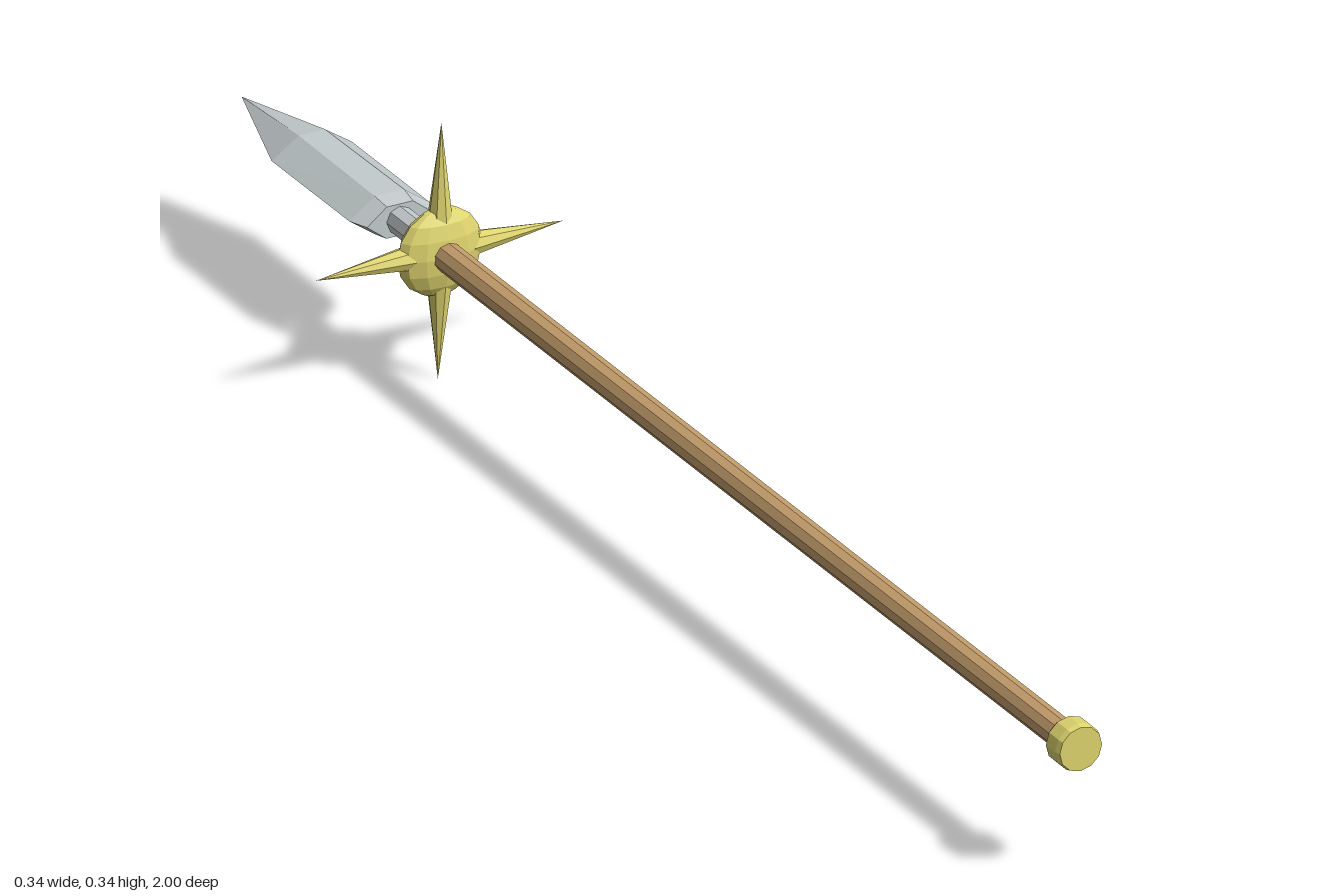
import * as THREE from 'three';

const material = (color) => new THREE.MeshStandardMaterial({ color, flatShading: true });
const gold = material(0xded46e);
const wood = material(0xc49e6c);
const steel = material(0xc3cbcc);

function add(parent, name, geometry, mat) {
  const mesh = new THREE.Mesh(geometry, mat);
  mesh.name = name;
  parent.add(mesh);
  return mesh;
}

// Turned part along z; profile points are [radius, z], running from -z to +z
function turned(profile, sides) {
  const points = profile.map(([r, z]) => new THREE.Vector2(r, z));
  return new THREE.LatheGeometry(points, sides).rotateX(Math.PI / 2);
}

// Hexagonal blade; sections are [z, half width, half ridge width, half thickness]
function bladeGeometry(sections) {
  const positions = [];
  const rings = sections.map(([z, w, r, t]) => [
    [w, 0, z], [r, t, z], [-r, t, z], [-w, 0, z], [-r, -t, z], [r, -t, z],
  ]);
  const n = 6;
  for (let s = 0; s < rings.length - 1; s++) {
    const a = rings[s], b = rings[s + 1]; // b lies further towards -z
    for (let i = 0; i < n; i++) {
      const j = (i + 1) % n;
      positions.push(...a[i], ...a[j], ...b[j], ...a[i], ...b[j], ...b[i]);
    }
  }
  // Close the base, facing +z
  const base = rings[0];
  for (let i = 1; i < n - 1; i++) positions.push(...base[0], ...base[i], ...base[i + 1]);
  const geometry = new THREE.BufferGeometry();
  geometry.setAttribute('position', new THREE.Float32BufferAttribute(positions, 3));
  // Rings run anticlockwise seen from +z, so side faces need the opposite order
  const p = geometry.attributes.position;
  const sideVertices = (rings.length - 1) * n * 6;
  const v1 = new THREE.Vector3(), v2 = new THREE.Vector3();
  for (let k = 0; k < sideVertices; k += 3) {
    v1.fromBufferAttribute(p, k + 1);
    v2.fromBufferAttribute(p, k + 2);
    p.setXYZ(k + 1, v2.x, v2.y, v2.z);
    p.setXYZ(k + 2, v1.x, v1.y, v1.z);
  }
  geometry.computeVertexNormals();
  return geometry;
}

export function createModel() {
  const spear = new THREE.Group();
  spear.name = 'spear';

  // Wooden shaft and end cap
  add(spear, 'shaft', turned([[0, -0.53], [0.019, -0.53], [0.019, 0.97], [0, 0.97]], 10), wood);
  add(spear, 'pommel', turned([[0, 0.96], [0.025, 0.96], [0.031, 0.968], [0.031, 0.99], [0.029, 0.998], [0, 0.998]], 12), gold);

  // Flattened hub with four spikes
  const guard = new THREE.Group();
  guard.name = 'guard';
  guard.position.z = -0.53;
  spear.add(guard);
  add(guard, 'hub', new THREE.SphereGeometry(0.058, 12, 8).scale(1, 1, 0.4), gold);
  const spike = new THREE.ConeGeometry(0.016, 0.13, 8).translate(0, 0.105, 0);
  for (let i = 0; i < 4; i++) {
    add(guard, 'spike', spike, gold).rotation.z = (i * Math.PI) / 2;
  }

  // Steel socket and blade
  add(spear, 'socket', turned([[0, -0.66], [0.018, -0.66], [0.018, -0.53], [0, -0.53]], 8), steel);
  add(spear, 'blade', bladeGeometry([
    [-0.625, 0.045, 0.018, 0.021],
    [-0.65, 0.055, 0.02, 0.025],
    [-0.835, 0.055, 0.018, 0.025],
    [-1, 0.0005, 0.0002, 0.0005],
  ]), steel);

  // The spear lies at a very slight tilt
  spear.rotation.set(-0.0046, 0.0152, -0.017);
  spear.position.set(0.007, 0.1775, 0);
  const model = new THREE.Group();
  model.name = 'model';
  model.add(spear);
  return model;
}
